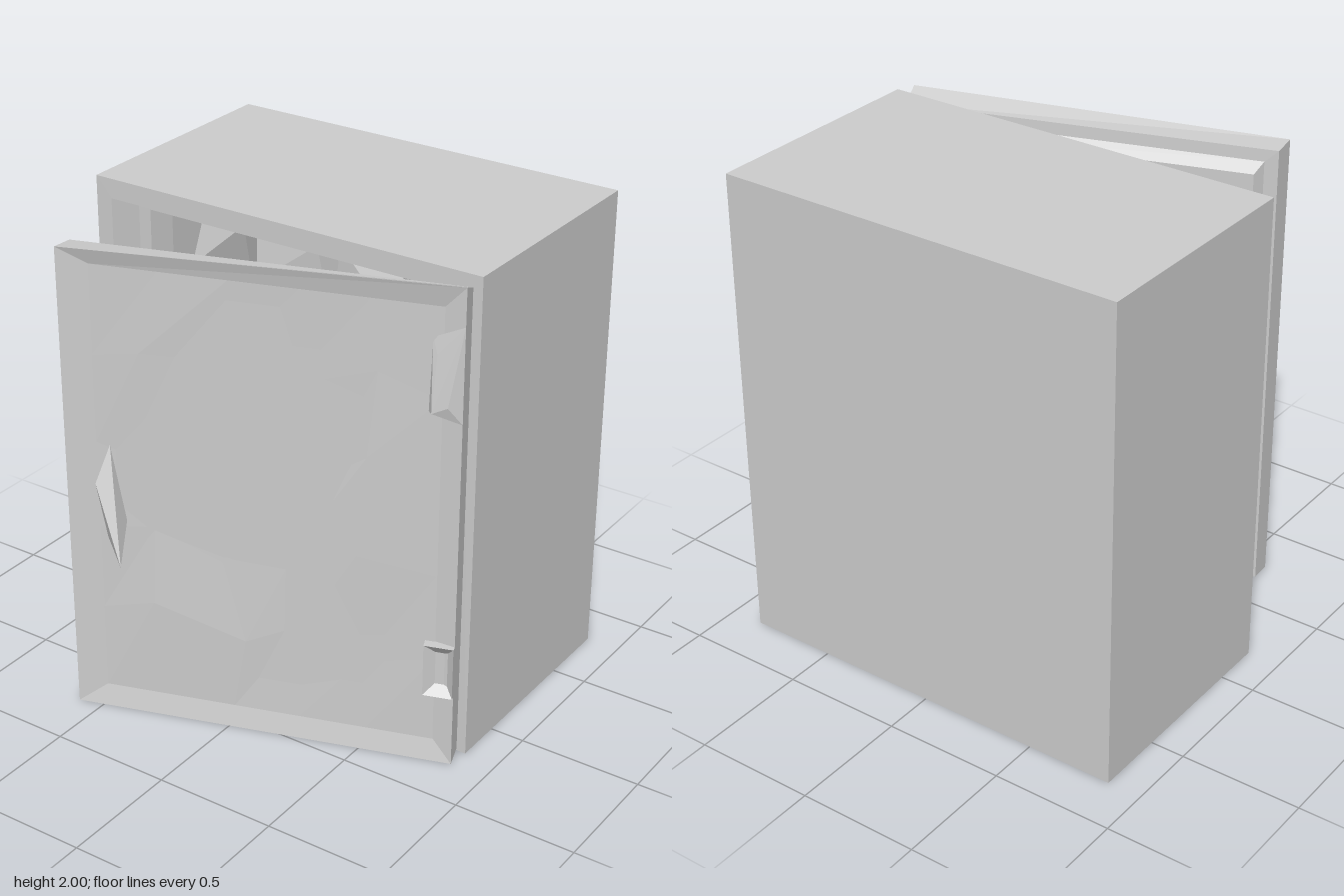
import * as THREE from 'three';
import { ConvexGeometry } from 'three/addons/geometries/ConvexGeometry.js';

const grey = new THREE.MeshStandardMaterial({ color: 0xcccccc, flatShading: true, side: THREE.DoubleSide });

function part(name, geometry, x = 0, y = 0, z = 0) {
  const mesh = new THREE.Mesh(geometry, grey);
  mesh.name = name;
  mesh.position.set(x, y, z);
  return mesh;
}

const hull = (points) => new ConvexGeometry(points.map((p) => new THREE.Vector3(...p)));

// Skin through a list of rectangles [x0, x1, y0, y1, z], capped at both ends
function rectShell(rings) {
  const pos = [], index = [];
  for (const [x0, x1, y0, y1, z] of rings) pos.push(x0, y0, z, x1, y0, z, x1, y1, z, x0, y1, z);
  for (let r = 0; r < rings.length - 1; r++) {
    for (let i = 0; i < 4; i++) {
      const a = r * 4 + i, b = r * 4 + (i + 1) % 4;
      index.push(a, b, b + 4, a, b + 4, a + 4);
    }
  }
  const e = (rings.length - 1) * 4;
  index.push(0, 2, 1, 0, 3, 2, e, e + 1, e + 2, e, e + 2, e + 3);
  const geo = new THREE.BufferGeometry();
  geo.setAttribute('position', new THREE.Float32BufferAttribute(pos, 3));
  geo.setIndex(index);
  const flat = geo.toNonIndexed();
  flat.computeVertexNormals();
  return flat;
}

function seeded(seed) {
  return () => (seed = (seed * 16807) % 2147483647) / 2147483647;
}

// Outer case, front rim, stepped jamb and hollow inside in one skin
function buildCase() {
  return part('caseShell', rectShell([
    [-0.86, 0.86, 0, 2, -0.79],
    [-0.86, 0.86, 0, 2, 0.2],
    [-0.79, 0.79, 0.08, 1.92, 0.2],
    [-0.745, 0.745, 0.11, 1.89, 0.09],
    [-0.69, 0.69, 0.13, 1.86, 0.09],
    [-0.67, 0.67, 0.15, 1.84, -0.02],
    [-0.67, 0.67, 0.15, 1.84, -0.7],
  ]));
}

// Shelf with rough, faceted bundles above and below
function buildContents() {
  const group = new THREE.Group();
  group.name = 'contents';
  group.add(part('shelf', new THREE.BoxGeometry(1.34, 0.04, 0.6), 0, 1.04, -0.38));
  const rand = seeded(17);
  for (const base of [0.15, 0.46, 0.76, 1.06, 1.32, 1.57]) {
    for (let i = 0; i < 4; i++) {
      const geo = hull(Array.from({ length: 12 }, (_, k) => [
        (k & 1 ? 1 : -1) * (0.1 + rand() * 0.06),
        (k & 2 ? 1 : -1) * (0.08 + rand() * 0.05),
        (k & 4 ? 1 : -1) * (0.18 + rand() * 0.1),
      ]));
      group.add(part('bundle', geo, -0.51 + i * 0.34, base + 0.13, -0.36));
    }
  }
  return group;
}

// Dented front panel of the door, sunk behind its rim
function dentedPanel(x0, x1, y0, y1, z) {
  const geo = new THREE.PlaneGeometry(x1 - x0, y1 - y0, 5, 5);
  geo.translate((x0 + x1) / 2, (y0 + y1) / 2, z);
  const p = geo.attributes.position, rand = seeded(5);
  for (let i = 0; i < p.count; i++) {
    const c = i % 6, r = Math.floor(i / 6);
    if (c === 0 || c === 5 || r === 0 || r === 5) continue;
    p.setXYZ(i, p.getX(i) + (rand() - 0.5) * 0.16, p.getY(i) + (rand() - 0.5) * 0.2, z + (rand() - 0.6) * 0.025);
  }
  const flat = geo.toNonIndexed();
  flat.computeVertexNormals();
  return flat;
}

// Door in its own frame: hinge edge at x = 0, front face at z = 0
function buildDoor() {
  const door = new THREE.Group();
  door.name = 'door';
  const W = 1.524;
  const slab = rectShell([
    [-1.42, -0.2, 0.1, 1.86, -0.14],
    [-1.45, -0.13, 0.08, 1.9, -0.1],
    [-W + 0.02, 0, 0.01, 1.95, -0.098],
    [-W, 0, 0.0, 1.97, 0],
    [-W + 0.12, -0.08, 0.09, 1.9, -0.02],
  ]);
  // The top edge rises towards the hinge
  const p = slab.attributes.position;
  for (let i = 0; i < p.count; i++) {
    if (p.getZ(i) === 0 && p.getY(i) > 1) p.setY(i, p.getX(i) > -0.5 ? 1.99 : 1.96);
  }
  slab.computeVertexNormals();
  door.add(part('doorSlab', slab));
  door.add(part('doorPanel', dentedPanel(-W + 0.12, -0.08, 0.09, 1.9, -0.017)));

  // Lower hinge: small block with a sunken front
  door.add(part('lowerHinge', rectShell([
    [-0.12, 0.0, 0.3, 0.53, -0.03],
    [-0.115, 0.0, 0.31, 0.53, 0.022],
    [-0.075, -0.03, 0.35, 0.49, -0.01],
  ])));
  // Upper hinge: worn wedge that fades into the panel
  door.add(part('upperHinge', hull([
    [-0.13, 1.49, -0.02], [-0.11, 1.5, 0.022], [-0.05, 1.53, 0.024], [0, 1.46, 0],
    [0, 1.84, 0], [-0.1, 1.72, -0.005], [-0.12, 1.78, -0.02], [0, 1.5, -0.04],
  ])));
  door.position.set(0.85, 0, 0.29);
  door.rotation.y = 0.3136;
  return door;
}

export function createModel() {
  const model = new THREE.Group();
  model.name = 'safe';
  model.add(buildCase(), buildContents(), buildDoor());
  // Angular door handle
  model.add(part('handle', hull([
    [-0.44, 1.17, 0.69], [-0.46, 1.03, 0.76], [-0.33, 0.72, 0.79],
    [-0.46, 0.77, 0.7], [-0.38, 0.86, 0.68],
  ])));
  return model;
}
